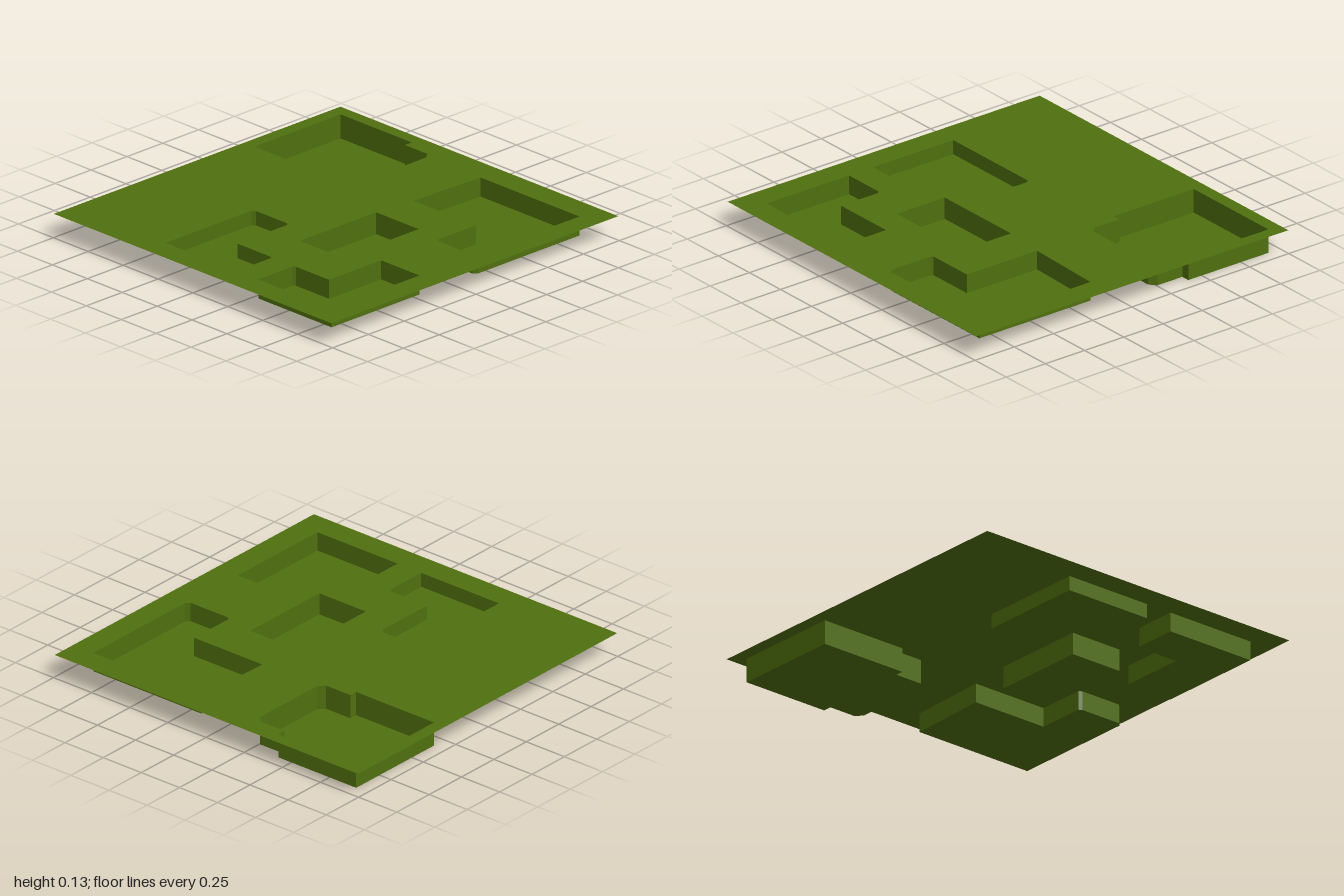
import * as THREE from 'three';

const TOP = 0.13;

// Each pit: floor height and outline as [x, z] corners
const PITS = [
  { name: 'backLeftPit', floor: 0.0, outline: [
    [0.33, -0.925], [0.93, -0.925], [0.93, -0.415], [0.882, -0.415], [0.882, -0.255], [0.845, -0.225],
    [0.41, -0.225], [0.375, -0.255], [0.375, -0.415], [0.33, -0.415]] },
  { name: 'backRightPit', floor: 0.052, outline: [
    [-0.863, -0.337], [-0.265, -0.337], [-0.25, -0.32], [-0.25, -0.1], [-0.265, -0.08], [-0.613, -0.08],
    [-0.613, 0.16], [-0.625, 0.172], [-0.863, 0.172]] },
  { name: 'frontRightPit', floor: 0.027, outline: [
    [-0.863, 0.327], [-0.625, 0.327], [-0.613, 0.34], [-0.613, 0.577], [-0.25, 0.577], [-0.25, 0.852],
    [-0.863, 0.852]] },
  { name: 'centrePit', floor: 0.012, outline: [
    [-0.365, 0.112], [0.168, 0.112], [0.168, 0.417], [-0.365, 0.417]] },
  { name: 'frontLeftPit', floor: 0.027, outline: [
    [0.407, 0.135], [0.858, 0.152], [0.858, 0.86], [0.15, 0.86], [0.13, 0.84], [0.13, 0.6],
    [0.14, 0.582], [0.407, 0.582]] },
];

// Shape coordinates use -z as their second axis, then get laid flat
const toPoints = (outline) => outline.map(([x, z]) => new THREE.Vector2(x, -z));

function flat(shape, y) {
  return new THREE.ShapeGeometry(shape).rotateX(-Math.PI / 2).translate(0, y, 0);
}

// Vertical strip following an outline, facing into the pit
function walls(outline, y0, y1) {
  const pos = [];
  outline.forEach(([ax, az], i) => {
    const [bx, bz] = outline[(i + 1) % outline.length];
    pos.push(ax, y0, az, bx, y0, bz, bx, y1, bz, ax, y0, az, bx, y1, bz, ax, y1, az);
  });
  const geo = new THREE.BufferGeometry();
  geo.setAttribute('position', new THREE.Float32BufferAttribute(pos, 3));
  geo.computeVertexNormals();
  return geo;
}

export function createModel() {
  const model = new THREE.Group();
  model.name = 'groundWithPits';
  const grass = new THREE.MeshStandardMaterial({ color: 0x4f6f0e, side: THREE.DoubleSide, flatShading: true });
  const add = (parent, geo, name) => {
    const mesh = new THREE.Mesh(geo, grass);
    mesh.name = name;
    parent.add(mesh);
  };

  // Thin ground sheet with openings
  const sheet = new THREE.Shape(toPoints([[-1, -0.997], [1, -0.997], [1, 0.992], [-1, 0.992]]));
  PITS.forEach((p) => sheet.holes.push(new THREE.Path(toPoints(p.outline))));
  add(model, flat(sheet, TOP), 'groundSheet');

  // Sunken pits
  for (const { name, floor, outline } of PITS) {
    const pit = new THREE.Group();
    pit.name = name;
    add(pit, flat(new THREE.Shape(toPoints(outline)), floor), 'pitFloor');
    add(pit, walls(outline, floor, TOP), 'pitWalls');
    model.add(pit);
  }
  return model;
}
